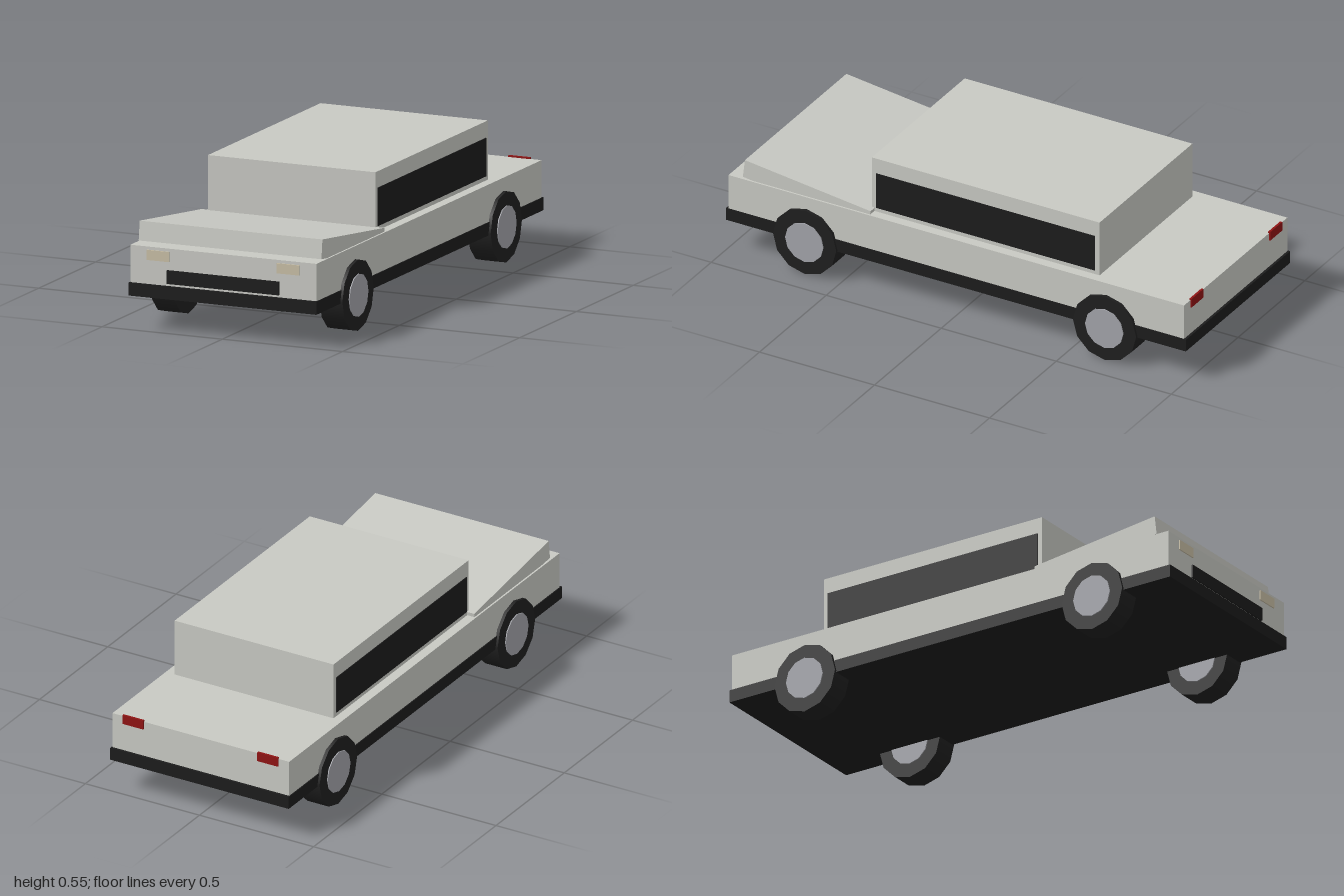
import * as THREE from 'three';

const mat = (name, color) => {
  const m = new THREE.MeshStandardMaterial({ color });
  m.name = name;
  return m;
};

export function createModel() {
  const car = new THREE.Group();
  car.name = 'car';
  const paint = mat('silver paint', 0xc8c9c3);
  const trim = mat('black trim', 0x1c1c1c);
  const rubber = mat('tyre rubber', 0x1f1f1f);
  const metal = mat('wheel metal', 0xa2a3a9);
  const lamp = mat('headlight cream', 0xc9bfa6);
  const red = mat('tail light red', 0x8f1414);

  // Box given by its minimum and maximum corners
  const box = (name, material, [x0, y0, z0], [x1, y1, z1], parent = car) => {
    const mesh = new THREE.Mesh(new THREE.BoxGeometry(x1 - x0, y1 - y0, z1 - z0), material);
    mesh.position.set((x0 + x1) / 2, (y0 + y1) / 2, (z0 + z1) / 2);
    mesh.name = name;
    parent.add(mesh);
    return mesh;
  };

  // Main shell
  box('body', paint, [-0.387, 0.175, -0.99], [0.387, 0.325, 0.99]);
  box('skirt', trim, [-0.391, 0.131, -1], [0.391, 0.181, 1]);
  box('cabin', paint, [-0.348, 0.32, -0.6], [0.348, 0.553, 0.39]);
  box('grille', trim, [-0.233, 0.19, 0.988], [0.233, 0.242, 0.997]);

  // Hood: a slab raised at the front
  const hood = new THREE.Mesh(new THREE.BoxGeometry(0.76, 0.075, 0.55), paint);
  hood.name = 'hood';
  hood.position.set(0, 0.335, 0.6545);
  hood.rotation.x = -0.119;
  car.add(hood);

  // Twelve-sided wheel with a hub showing on both faces
  const cylinder = (name, material, radius, width, parent) => {
    const geo = new THREE.CylinderGeometry(radius, radius, width, 12).rotateZ(Math.PI / 2);
    const mesh = new THREE.Mesh(geo, material);
    material.flatShading = false;
    mesh.name = name;
    parent.add(mesh);
  };

  for (const side of [1, -1]) {
    const label = side > 0 ? 'left' : 'right';
    const mirrored = (name, material, xa, xb, y0, y1, z0, z1) =>
      box(name, material, [Math.min(side * xa, side * xb), y0, z0], [Math.max(side * xa, side * xb), y1, z1]);

    mirrored(label + 'Window', trim, 0.343, 0.351, 0.342, 0.49, -0.581, 0.371);
    mirrored(label + 'Headlight', lamp, 0.224, 0.317, 0.274, 0.313, 0.987, 0.995);
    mirrored(label + 'TailLight', red, 0.25, 0.34, 0.294, 0.331, -0.995, -0.986);

    for (const z of [0.652, -0.652]) {
      const wheel = new THREE.Group();
      wheel.name = label + (z > 0 ? 'FrontWheel' : 'RearWheel');
      wheel.position.set(side * 0.3525, 0.1375, z);
      cylinder('tyre', rubber, 0.1375, 0.095, wheel);
      cylinder('hub', metal, 0.083, 0.103, wheel);
      car.add(wheel);
    }
  }
  return car;
}
